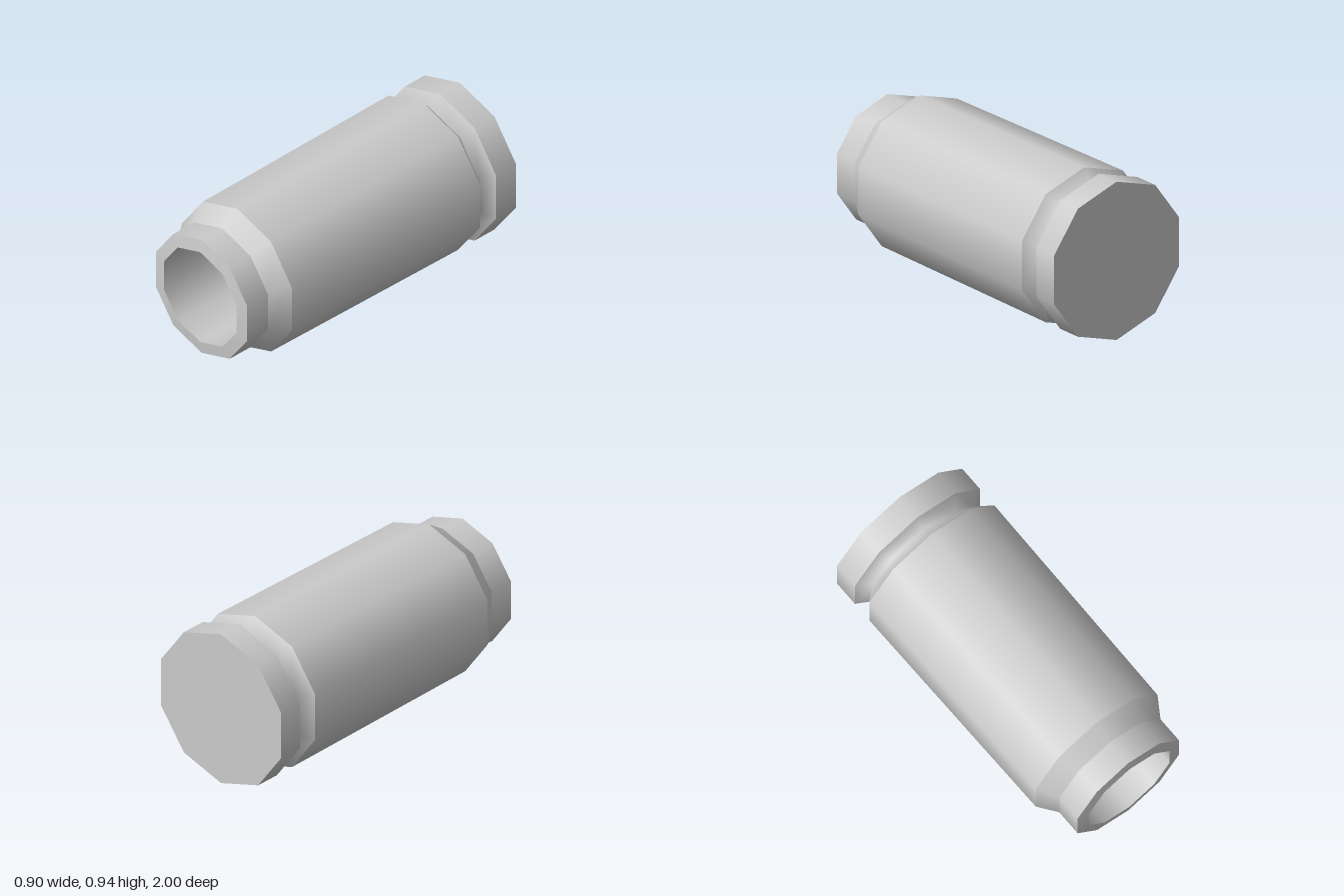
import * as THREE from 'three';

const SIDES = 10;
const RADIUS = 0.472;

export function createModel() {
  const group = new THREE.Group();
  group.name = 'casing';
  const material = new THREE.MeshStandardMaterial({ color: 0xcccccc });

  // Ten-sided ring from [radius, z] pairs: back to front faces outward, front to back inward
  function ring(name, profile) {
    const points = profile.map(([r, z]) => new THREE.Vector2(r, z));
    const geometry = new THREE.LatheGeometry(points, SIDES);
    geometry.rotateX(Math.PI / 2);
    geometry.translate(0, RADIUS, 0);
    const mesh = new THREE.Mesh(geometry, material);
    mesh.name = name;
    group.add(mesh);
  }

  // Closed base and rim
  ring('base', [[0, -1], [RADIUS, -1]]);
  ring('rim', [[RADIUS, -1], [RADIUS, -0.845]]);

  // Smooth V-shaped groove
  ring('groove', [[RADIUS, -0.845], [0.383, -0.795], [RADIUS, -0.72]]);

  // Slightly tapered body, shoulder and neck
  ring('body', [[RADIUS, -0.72], [0.459, 0.715]]);
  ring('shoulder', [[0.459, 0.715], [0.382, 0.83]]);
  ring('neck', [[0.382, 0.83], [0.382, 0.99]]);

  // Sloped lip around the opening, and the hollow inside
  ring('lip', [[0.382, 0.99], [0.304, 1]]);
  ring('bore', [[0.304, 1], [0.304, -0.65], [0, -0.65]]);

  return group;
}
